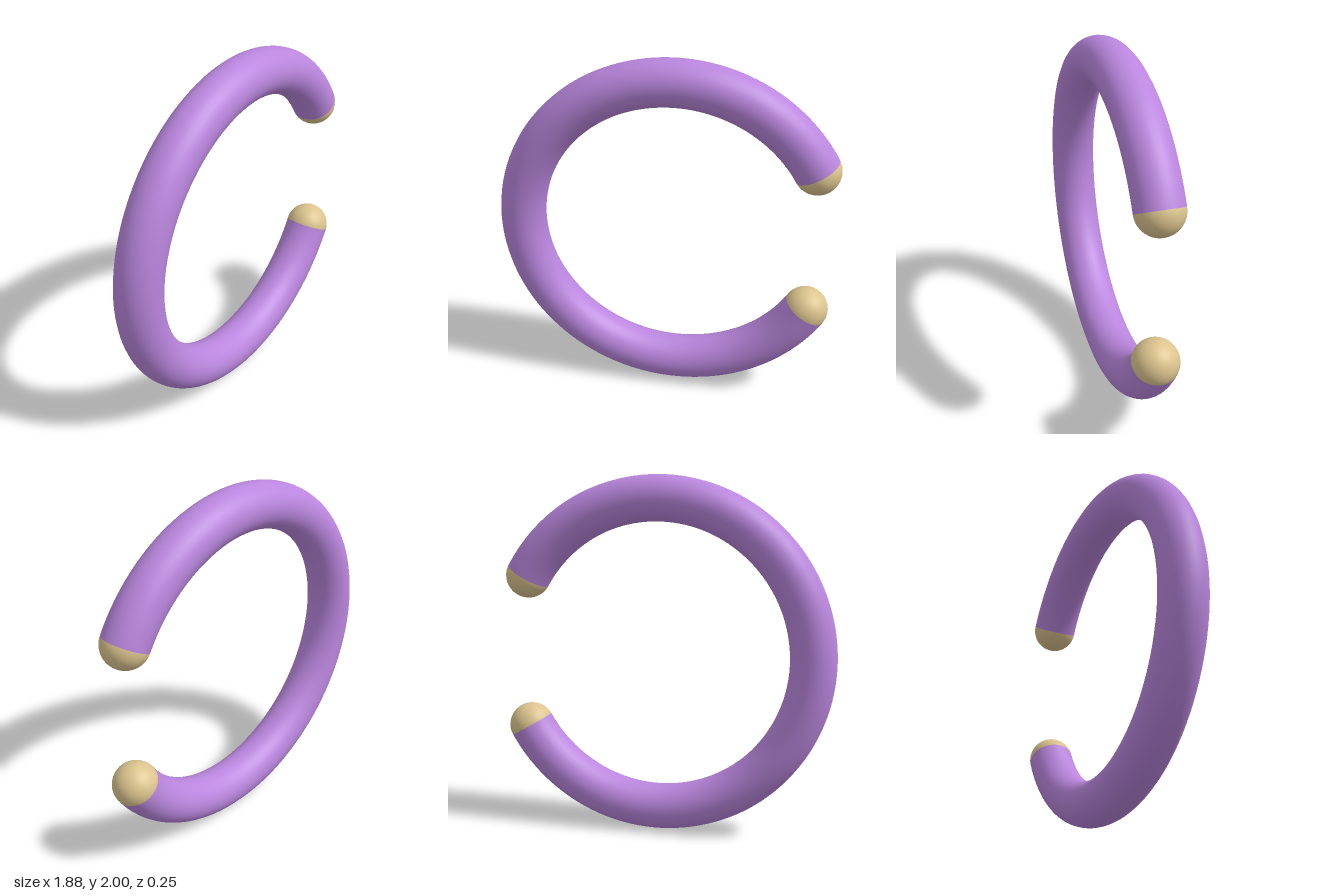
import * as THREE from 'three';

export function createModel() {
  const purple = new THREE.MeshStandardMaterial({ color: 0xba86de });
  purple.name = 'purple';
  const gold = new THREE.MeshStandardMaterial({ color: 0xdcc48e });
  gold.name = 'pale gold';

  const R = 0.8725, r = 0.1275, gap = Math.PI / 6;
  const model = new THREE.Group();
  model.name = 'openRing';
  model.position.set(0.058, 1, 0);

  // Open ring with its gap facing +x
  const ring = new THREE.Mesh(new THREE.TorusGeometry(R, r, 32, 120, Math.PI * 2 - 2 * gap), purple);
  ring.name = 'ring';
  ring.rotation.z = gap;
  model.add(ring);

  // Domed caps closing the two ends
  const dome = new THREE.SphereGeometry(r, 32, 16, 0, Math.PI * 2, 0, Math.PI / 2);
  for (const side of [1, -1]) {
    const cap = new THREE.Mesh(dome, gold);
    cap.name = side > 0 ? 'upperCap' : 'lowerCap';
    cap.position.set(R * Math.cos(gap), side * R * Math.sin(gap), 0);
    cap.rotation.z = side > 0 ? Math.PI + gap : -gap;
    model.add(cap);
  }

  const root = new THREE.Group();
  root.add(model);
  return root;
}
